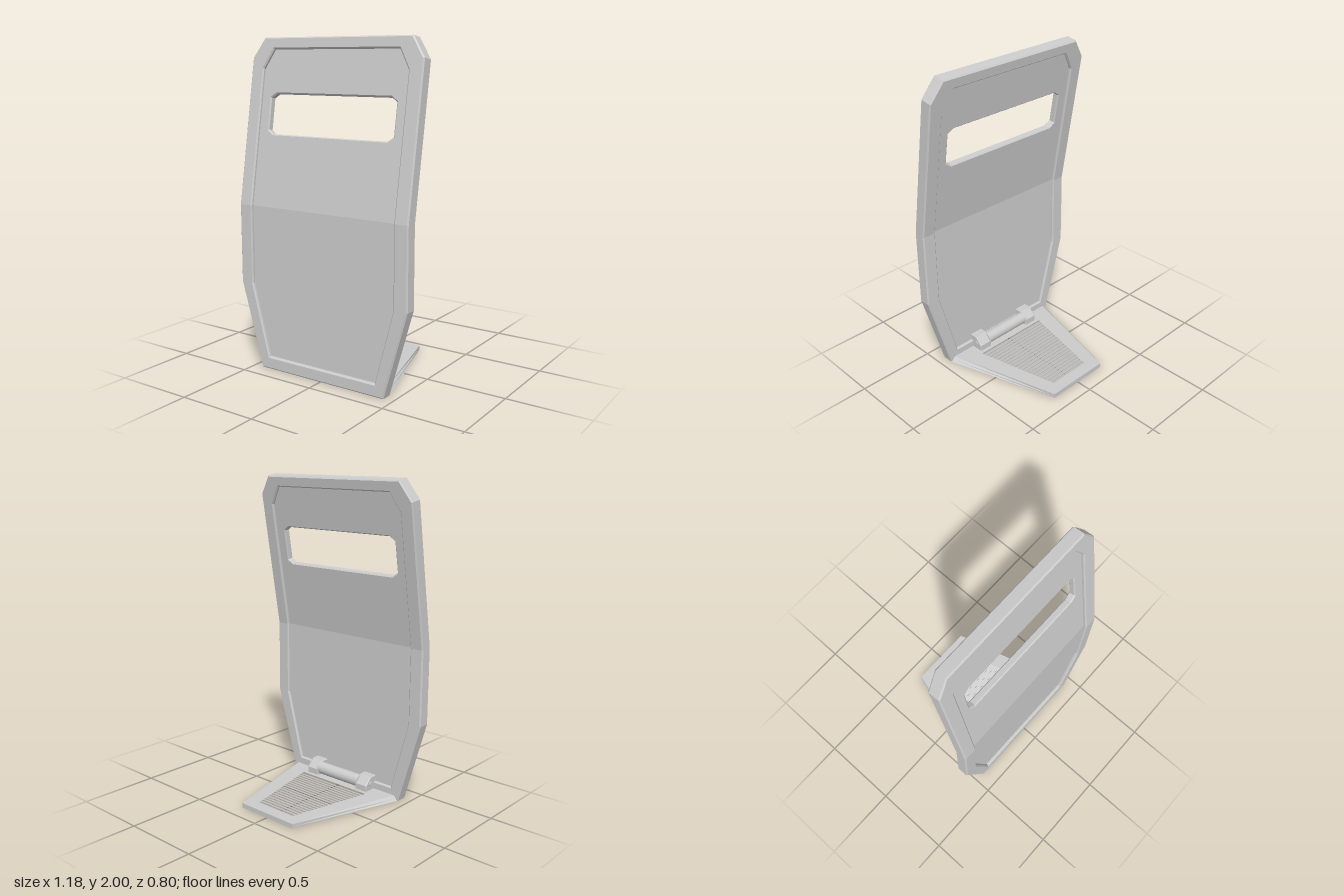
import * as THREE from 'three';

const BACK = 0.32;      // z of the shield's rear face below the bend
const BEND = 1;         // height of the bend
const TILT = 0.168;     // backward lean above the bend

const material = new THREE.MeshStandardMaterial({ color: 0xcccccc, flatShading: true });

function mesh(name, geometry, parent) {
  const m = new THREE.Mesh(geometry, material);
  m.name = name;
  parent.add(m);
  return m;
}

const vectors = (pts) => pts.map(([x, y]) => new THREE.Vector2(x, y));
// Right-hand points plus their mirror image, as one closed outline
const mirrored = (pts) => [...pts, ...pts.map(([x, y]) => [-x, y]).reverse()];

// Bevelled slab between depths d0 and d1, without growing past its outline
function slab(shape, d0, d1, bevel) {
  const g = new THREE.ExtrudeGeometry(shape, {
    depth: d1 - d0 - 2 * bevel, bevelEnabled: true, bevelSegments: 1,
    bevelSize: bevel, bevelThickness: bevel, bevelOffset: -bevel,
  });
  return g.translate(0, 0, d0 + bevel);
}

// Lean everything above the bend backwards, mitring the two halves at the bend
function bend(g) {
  const p = g.attributes.position;
  for (let i = 0; i < p.count; i++) {
    const s = p.getY(i) - BEND, d = p.getZ(i);
    if (Math.abs(s) < 0.015) {
      p.setY(i, BEND + d * Math.tan(TILT / 2));
      p.setZ(i, BACK + d);
    } else if (s > 0) {
      p.setY(i, BEND + s * Math.cos(TILT) + d * Math.sin(TILT));
      p.setZ(i, BACK - s * Math.sin(TILT) + d * Math.cos(TILT));
    } else {
      p.setZ(i, BACK + d);
    }
  }
  g.computeVertexNormals();
  return g;
}

// Horizontal plate from [x, z] outlines, its sides leaning in towards the front
function plate(outer, hole, y0, y1) {
  const flip = (pts) => vectors(mirrored(pts).map(([x, z]) => [x, -z]));
  const shape = new THREE.Shape(flip(outer));
  shape.holes.push(new THREE.Path(flip(hole)));
  const g = new THREE.ExtrudeGeometry(shape, { depth: y1 - y0, bevelEnabled: false });
  g.rotateX(-Math.PI / 2).translate(0, y0, 0);
  const p = g.attributes.position;
  for (let i = 0; i < p.count; i++) {
    const x = p.getX(i);
    if (p.getZ(i) > 0.3 && Math.abs(x) > 0.4) p.setX(i, x * (1 - 2.2 * p.getY(i)));
  }
  g.computeVertexNormals();
  return g;
}

export function createModel() {
  const model = new THREE.Group();
  model.name = 'standingShield';

  // Outer rim, lower and upper halves
  const rim = new THREE.Group();
  rim.name = 'rim';
  model.add(rim);
  const rimHalves = {
    lowerRim: [[[0.44, 0], [0.592, 0.525], [0.592, BEND]],
      [[0.382, 0.078], [0.502, 0.525], [0.502, BEND]]],
    upperRim: [[[0.512, 2], [0.592, 1.88], [0.592, BEND]],
      [[0.435, 1.93], [0.502, 1.815], [0.502, BEND]]],
  };
  for (const [name, [outer, inner]] of Object.entries(rimHalves)) {
    const flip = (pts) => pts.map(([x, y]) => [-x, y]);
    const outline = [...flip(outer).reverse(), ...outer, ...[...inner].reverse(), ...flip(inner)];
    mesh(name, bend(slab(new THREE.Shape(vectors(outline)), 0, 0.08, 0.008)), rim);
  }

  // Recessed panel, the upper half with a viewing slot
  const panel = new THREE.Group();
  panel.name = 'panel';
  model.add(panel);
  const lower = new THREE.Shape(vectors(mirrored(
    [[0.4, 0.055], [0.525, 0.52], [0.525, BEND]])));
  const upper = new THREE.Shape(vectors(mirrored(
    [[0.525, BEND], [0.525, 1.825], [0.452, 1.955]])));
  upper.holes.push(new THREE.Path(vectors(mirrored(
    [[0.4, 1.43], [0.437, 1.455], [0.437, 1.645], [0.4, 1.67]]))));
  mesh('lowerPanel', bend(slab(lower, 0.016, 0.06, 0.007)), panel);
  mesh('upperPanel', bend(slab(upper, 0.016, 0.06, 0.007)), panel);

  // Tapered foot plate: hollowed underside below, grille opening above
  const foot = new THREE.Group();
  foot.name = 'foot';
  model.add(foot);
  const footOutline = [[0.213, -0.4], [0.438, BACK]];
  const grilleHalfWidth = (z) => 0.142 + (z + 0.32) * 0.228;
  const z0 = -0.325, z1 = 0.215;
  mesh('footBottom', plate(footOutline, [[0.18, -0.36], [0.37, 0.27]], 0, 0.012), foot);
  mesh('footTop', plate(footOutline,
    [[grilleHalfWidth(z0), z0], [grilleHalfWidth(z1), z1]], 0.012, 0.03), foot);

  // Overlapping tilted slats filling the grille
  const count = 20, pitch = (z1 - z0) / count;
  for (let i = 0; i < count; i++) {
    const z = z0 + (i + 0.5) * pitch;
    const slat = mesh('grilleSlat',
      new THREE.BoxGeometry(2 * grilleHalfWidth(z) + 0.012, 0.004, pitch * 1.13), foot);
    slat.position.set(0, 0.021, z);
    slat.rotation.x = 0.38;
  }

  // Hinge: two knuckles with pin heads and a barrel between them
  const hinge = new THREE.Group();
  hinge.name = 'hinge';
  model.add(hinge);
  const profile = new THREE.Shape(vectors(
    [[-0.34, 0.02], [-0.24, 0.02], [-0.24, 0.068], [-0.288, 0.118], [-0.34, 0.118]]));
  for (const side of [-1, 1]) {
    const knuckle = slab(profile, -0.045, 0.045, 0.005).rotateY(Math.PI / 2);
    mesh('hingeKnuckle', knuckle, hinge).position.x = side * 0.205;
    const pin = mesh('hingePin', new THREE.CylinderGeometry(0.016, 0.016, 0.012, 12), hinge);
    pin.rotation.z = Math.PI / 2;
    pin.position.set(side * 0.252, 0.07, 0.285);
  }
  const barrel = mesh('hingeBarrel', new THREE.CylinderGeometry(0.04, 0.04, 0.34, 20), hinge);
  barrel.material = new THREE.MeshStandardMaterial({ color: 0xcccccc });
  barrel.rotation.z = Math.PI / 2;
  barrel.position.set(0, 0.07, 0.282);

  return model;
}
